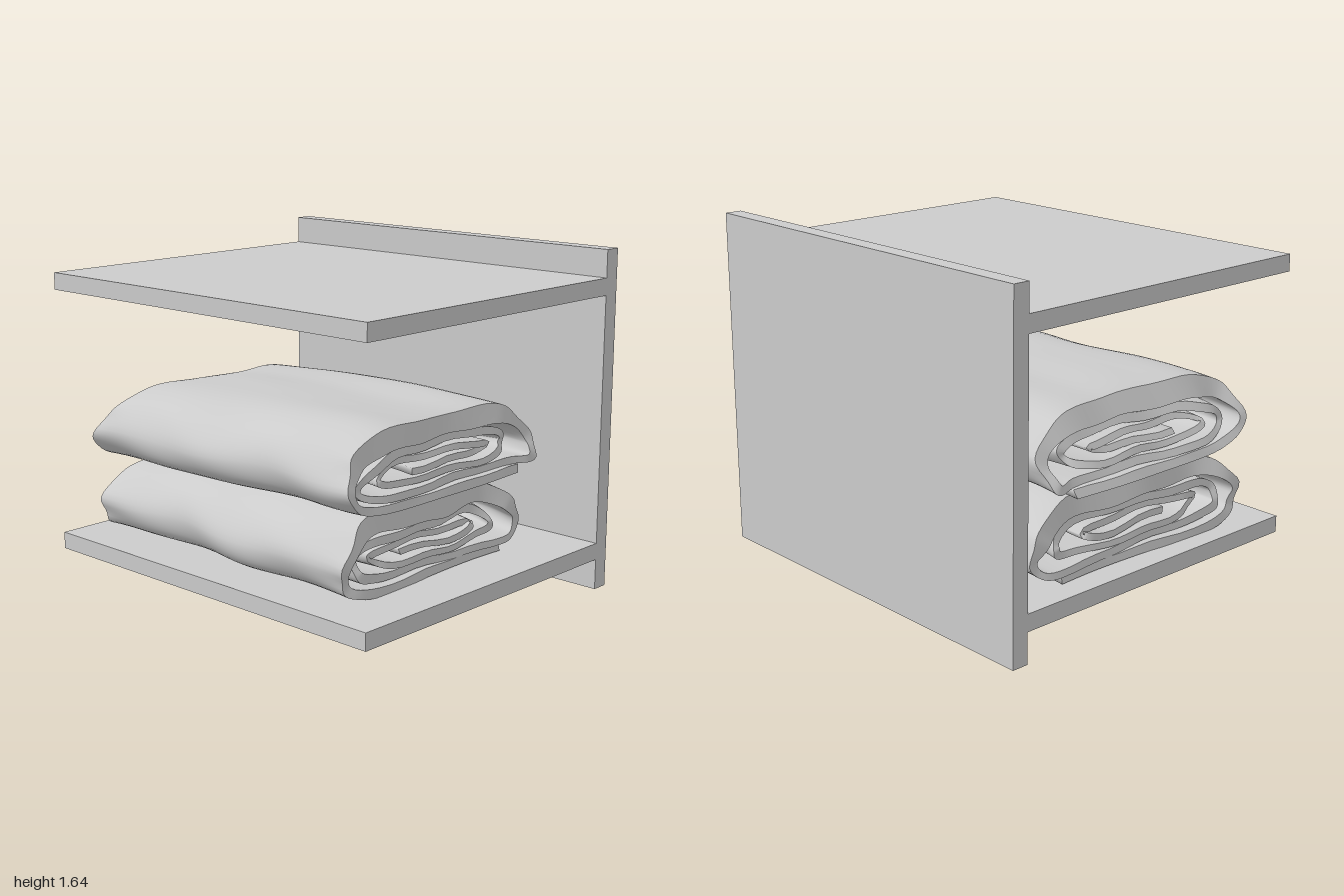
import * as THREE from 'three';

const material = new THREE.MeshStandardMaterial({ color: 0xcccccc, side: THREE.DoubleSide });
const HALF = 0.66, HEIGHT = 0.37;
const { lerp } = THREE.MathUtils;

// Folded cloth section: depth (-1..1), height (0..1), cloth thickness.
// Starts underneath, wraps over the front, top and back, then rolls inwards.
const FOLD = [
  [-0.75, 0.07, 0.04], [0, 0.06, 0.04], [0.7, 0.06, 0.04], [0.92, 0.2, 0.04], [0.96, 0.43, 0.05],
  [0.84, 0.7, 0.07], [0.6, 0.85, 0.1], [0.2, 0.86, 0.1], [-0.2, 0.84, 0.1], [-0.6, 0.85, 0.1],
  [-0.84, 0.68, 0.07], [-0.96, 0.42, 0.05], [-0.9, 0.21, 0.04], [-0.72, 0.17, 0.035],
  [0, 0.17, 0.035], [0.6, 0.17, 0.035], [0.8, 0.3, 0.04], [0.78, 0.48, 0.04], [0.55, 0.61, 0.04],
  [0, 0.64, 0.04], [-0.55, 0.62, 0.04], [-0.72, 0.48, 0.035], [-0.7, 0.36, 0.035], [-0.5, 0.29, 0.03],
  [0, 0.28, 0.03], [0.5, 0.29, 0.03], [0.62, 0.4, 0.03], [0.45, 0.5, 0.03], [0, 0.52, 0.03],
  [-0.5, 0.48, 0.03], [-0.35, 0.4, 0.03], [0.3, 0.4, 0.03]
];

// Outer side of the cloth forwards, then inner side backwards: one closed loop
function foldLoop(n) {
  const curve = new THREE.CatmullRomCurve3(FOLD.map(([z, y, t]) => new THREE.Vector3(z * HALF, y * HEIGHT, t)));
  const outer = [], inner = [];
  for (let k = 0; k <= n; k++) {
    const p = curve.getPoint(k / n), d = curve.getTangent(k / n);
    const len = Math.hypot(d.x, d.y), nz = d.y / len, ny = -d.x / len, h = p.z / 2;
    outer.push({ z: p.x + nz * h, y: p.y + ny * h, s: k / n });
    inner.unshift({ z: p.x - nz * h, y: p.y - ny * h, s: k / n });
  }
  return [...outer, ...inner];
}

function blanket(name, o) {
  const n = 170, nx = 44, loop = foldLoop(n), m = loop.length;
  const positions = [], indices = [];
  const place = (u, { z, y, s }) => {
    const e = u * 2 - 1, end = Math.abs(e) ** 6, r = THREE.MathUtils.clamp(y / HEIGHT, 0, 1);
    const inside = THREE.MathUtils.smoothstep(s, 0.38, 0.55);
    // Slanted, uneven ends with the inner folds set back
    let x = lerp(lerp(o.left[0], o.left[1], r), lerp(o.right[0], o.right[1], r), u);
    x -= e * end * (0.035 * inside + 0.015 * Math.sin(s * 70 + o.phase) + 0.012 * Math.sin(s * 31));
    // Front and back edges run slightly askew, with soft waves
    const zn = z / HALF;
    let pz = lerp(lerp(o.back[0], o.back[1], u), lerp(o.front[0], o.front[1], u), (zn + 1) / 2);
    pz += zn * (0.012 * Math.sin(x * 6 + o.phase) + 0.008 * Math.sin(x * 11 + r * 5));
    pz += end * 0.012 * Math.sin(r * 14 + o.phase);
    let py = y * (1 - 0.05 * end + 0.014 * Math.sin(x * 5 + z * 4 + o.phase) + 0.012 * Math.sin(z * 9 - x * 3));
    py += r * (1 - r) * (0.03 * Math.sin(x * 8 + z * 5 + o.phase) + 0.03 * end * Math.sin(z * 17 + o.phase));
    return [x, o.y + py, pz];
  };
  // Cloth surface swept from side to side
  for (let i = 0; i <= nx; i++) {
    const u = 0.5 - 0.5 * Math.cos(Math.PI * i / nx);
    for (const p of loop) positions.push(...place(u, p));
  }
  for (let i = 0; i < nx; i++) for (let j = 0; j < m; j++) {
    const a = i * m + j, b = i * m + (j + 1) % m;
    indices.push(a, a + m, b, b, a + m, b + m);
  }
  // Cut edges of the cloth at both ends
  for (const u of [0, 1]) {
    const base = positions.length / 3;
    for (const p of loop) positions.push(...place(u, p));
    for (let k = 0; k < n; k++) {
      const a = base + k, b = a + 1, c = base + m - 1 - k, d = c - 1;
      if (u === 0) indices.push(a, b, c, b, d, c);
      else indices.push(a, c, b, b, c, d);
    }
  }
  const geometry = new THREE.BufferGeometry();
  geometry.setAttribute('position', new THREE.Float32BufferAttribute(positions, 3));
  geometry.setIndex(indices);
  geometry.computeVertexNormals();
  const mesh = new THREE.Mesh(geometry, material);
  mesh.name = name;
  return mesh;
}

function board(name, height, depth, y, z) {
  const mesh = new THREE.Mesh(new THREE.BoxGeometry(2, height, depth), material);
  mesh.position.set(0, y, z);
  mesh.name = name;
  return mesh;
}

export function createModel() {
  const group = new THREE.Group();
  group.name = 'shelfWithBlankets';
  group.add(
    board('backPanel', 1.645, 0.083, 0.8225, -0.8215),
    board('lowerShelf', 0.082, 1.643, 0.19, 0.0415),
    board('upperShelf', 0.082, 1.643, 1.472, 0.0415),
    // left/right: end positions at bottom and top; front/back: edge depth at each end
    blanket('lowerBlanket', {
      y: 0.232, left: [-0.9, -0.81], right: [0.75, 0.69], front: [0.72, 0.74], back: [-0.64, -0.53], phase: 0.6
    }),
    blanket('upperBlanket', {
      y: 0.602, left: [-0.9, -0.71], right: [0.78, 0.7], front: [0.79, 0.71], back: [-0.56, -0.59], phase: 2.9
    })
  );
  return group;
}
